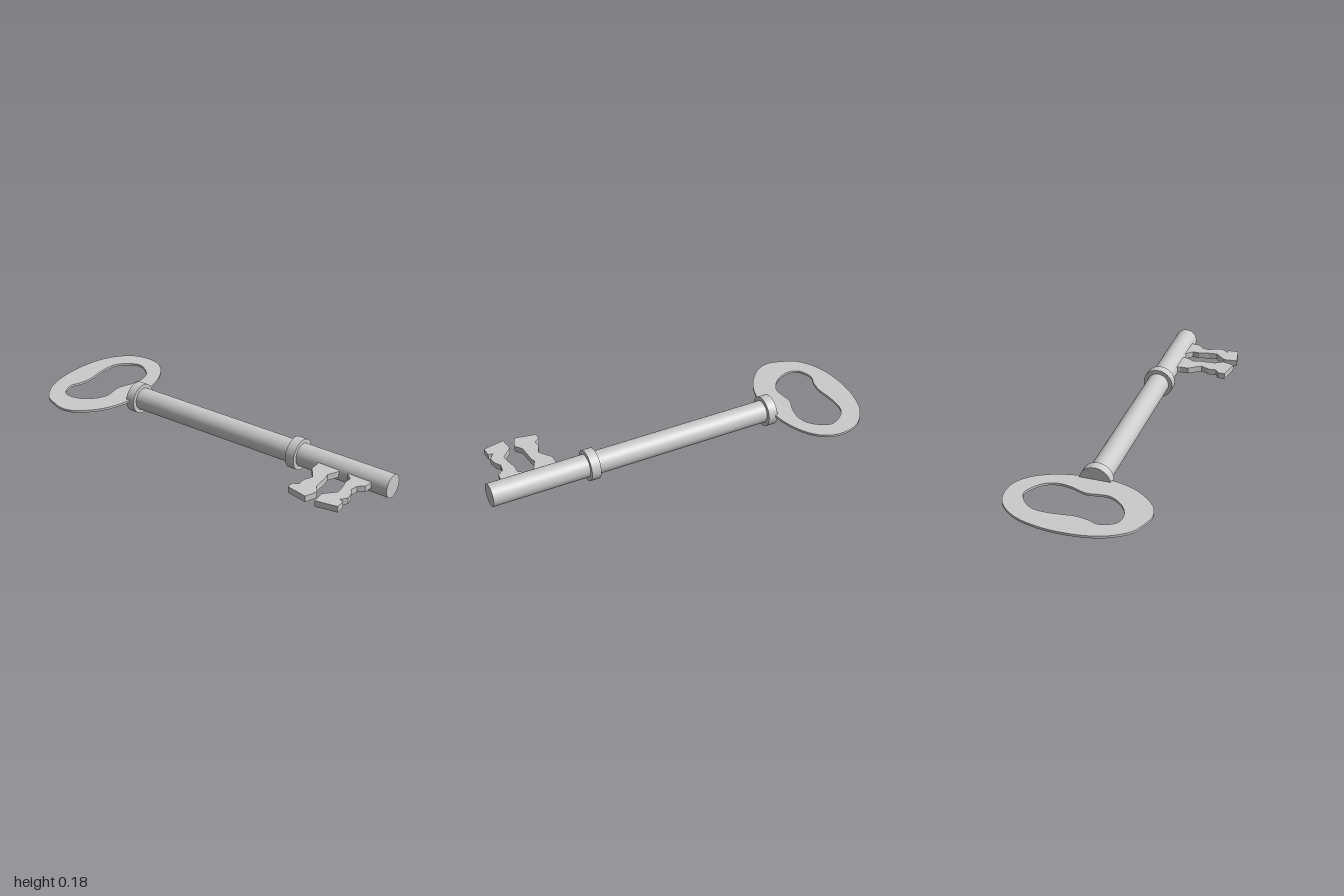
import * as THREE from 'three';

const material = new THREE.MeshStandardMaterial({ color: 0xcccccc });
const shaftStart = new THREE.Vector3(-0.505, 0.087, -0.249);
const shaftEnd = new THREE.Vector3(0.97, 0.103, 0.441);
const axis = shaftEnd.clone().sub(shaftStart);
const shaftLength = axis.length();
axis.normalize();

// Round bar along the shaft axis, from one distance to another
function addRod(group, name, radius, from, to) {
  const rod = new THREE.Mesh(new THREE.CylinderGeometry(radius, radius, to - from, 40), material);
  rod.name = name;
  rod.position.copy(shaftStart).addScaledVector(axis, (from + to) / 2);
  rod.quaternion.setFromUnitVectors(new THREE.Vector3(0, 1, 0), axis);
  group.add(rod);
}

// Flat plate lying in the xz plane, centred on height y
function addPlate(group, name, shape, thickness, y) {
  const geometry = new THREE.ExtrudeGeometry(shape, { depth: thickness, bevelEnabled: false });
  geometry.translate(0, 0, -thickness / 2).rotateX(Math.PI / 2);
  const plate = new THREE.Mesh(geometry, material);
  plate.name = name;
  plate.position.y = y;
  group.add(plate);
}

const toPoints = (list) => list.map(([x, z]) => new THREE.Vector2(x, z));

// Closed smooth outline through [x, z] points
function smoothOutline(list) {
  const curve = new THREE.CatmullRomCurve3(list.map(([x, z]) => new THREE.Vector3(x, z, 0)), true);
  return curve.getPoints(72).slice(0, -1).map((p) => new THREE.Vector2(p.x, p.y));
}

export function createModel() {
  const key = new THREE.Group();
  key.name = 'key';

  // Shaft with its two collars
  addRod(key, 'shaft', 0.062, 0.004, shaftLength);
  addRod(key, 'bowCollar', 0.084, -0.012, 0.04);
  addRod(key, 'bitCollar', 0.084, 1.046, 1.098);

  // Bow: oval plate with a kidney-shaped opening
  const bow = new THREE.Shape(smoothOutline([
    [-0.65, -0.72], [-0.56, -0.70], [-0.49, -0.65], [-0.45, -0.57], [-0.44, -0.48], [-0.45, -0.39],
    [-0.47, -0.32], [-0.50, -0.24], [-0.54, -0.16], [-0.60, -0.09], [-0.65, -0.05], [-0.72, -0.015],
    [-0.80, 0.005], [-0.87, -0.01], [-0.93, -0.06], [-0.98, -0.12], [-1, -0.20], [-1, -0.28],
    [-0.98, -0.37], [-0.93, -0.49], [-0.88, -0.57], [-0.81, -0.65], [-0.73, -0.70],
  ]));
  bow.holes.push(new THREE.Path(smoothOutline([
    [-0.91, -0.22], [-0.90, -0.18], [-0.86, -0.15], [-0.79, -0.14], [-0.72, -0.16], [-0.67, -0.20],
    [-0.65, -0.25], [-0.63, -0.31], [-0.57, -0.37], [-0.53, -0.43], [-0.52, -0.50], [-0.55, -0.57],
    [-0.59, -0.61], [-0.67, -0.61], [-0.73, -0.58], [-0.77, -0.52], [-0.80, -0.44], [-0.82, -0.38],
    [-0.86, -0.32], [-0.90, -0.28],
  ])));
  addPlate(key, 'bow', bow, 0.013, 0.095);

  // Two notched bits rooted inside the shaft
  addPlate(key, 'innerBit', new THREE.Shape(toPoints([
    [0.59, 0.26], [0.58, 0.34], [0.56, 0.385], [0.57, 0.43], [0.575, 0.465], [0.535, 0.50], [0.52, 0.54],
    [0.485, 0.545], [0.47, 0.58], [0.565, 0.65], [0.615, 0.60], [0.605, 0.55], [0.62, 0.51],
    [0.64, 0.46], [0.645, 0.43], [0.69, 0.395], [0.72, 0.32],
  ])), 0.034, 0.106);
  addPlate(key, 'outerBit', new THREE.Shape(toPoints([
    [0.72, 0.33], [0.74, 0.40], [0.76, 0.445], [0.74, 0.48], [0.73, 0.535], [0.715, 0.58], [0.64, 0.61],
    [0.615, 0.68], [0.73, 0.71], [0.75, 0.66], [0.73, 0.645], [0.77, 0.625], [0.78, 0.58],
    [0.775, 0.545], [0.80, 0.51], [0.84, 0.50], [0.87, 0.45], [0.88, 0.40],
  ])), 0.034, 0.106);

  return key;
}
